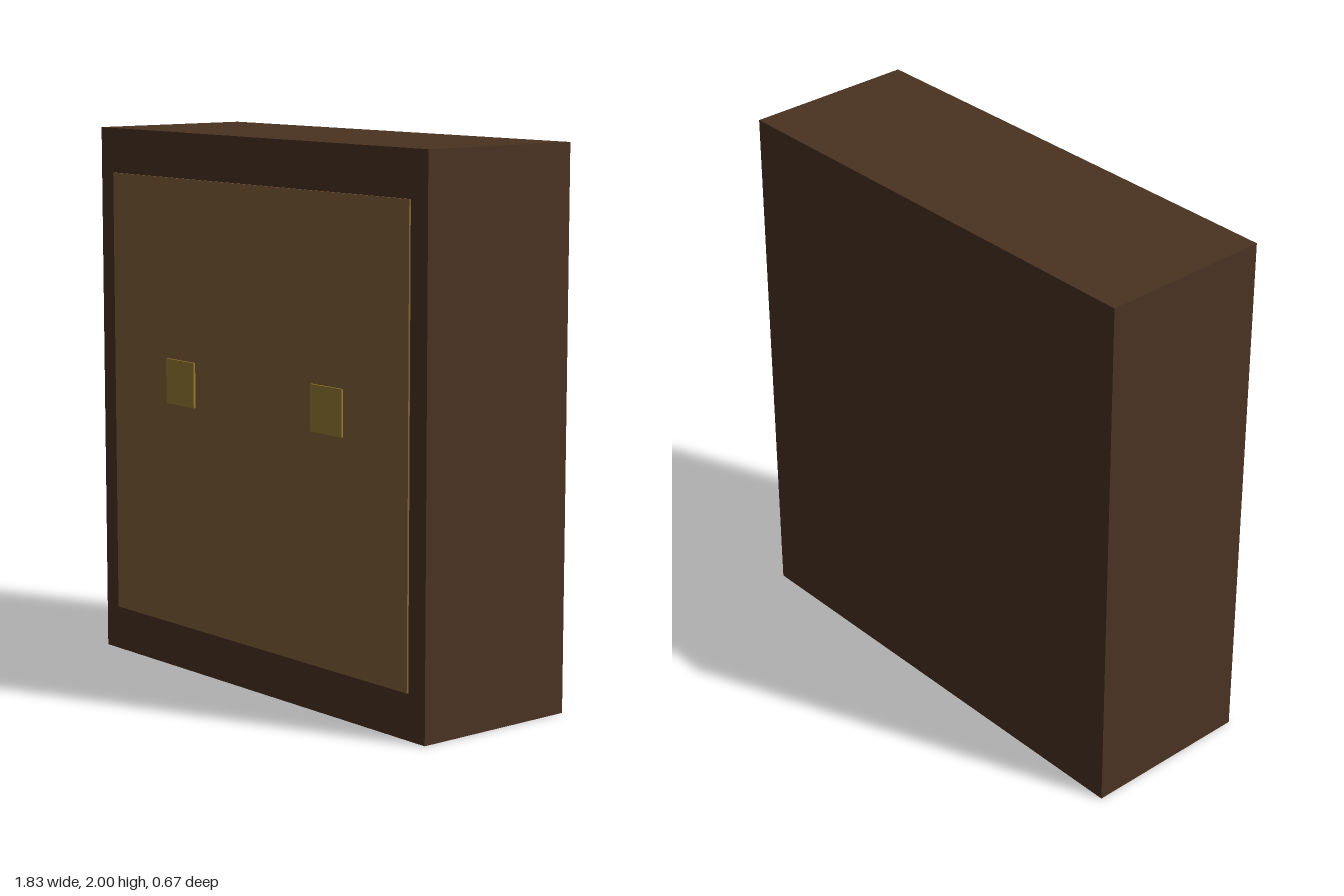
import * as THREE from 'three';

export function createModel() {
  const group = new THREE.Group();
  const mat = (name, color, side = THREE.FrontSide) =>
    Object.assign(new THREE.MeshStandardMaterial({ color, side }), { name });
  const darkWood = mat('darkWood', 0x4a3322, THREE.DoubleSide);
  const lightWood = mat('lightWood', 0x82623a, THREE.DoubleSide);
  const brass = mat('brass', 0x967c32);

  const add = (name, geometry, material, x, y, z, rx = 0, ry = 0) => {
    const mesh = new THREE.Mesh(geometry, material);
    mesh.name = name;
    mesh.position.set(x, y, z);
    mesh.rotation.set(rx, ry, 0);
    group.add(mesh);
  };

  // Cabinet shell: thin walls, open underneath
  const W = 1.833, H = 2, back = -0.333, front = 0.317;
  const D = front - back, midZ = (front + back) / 2;
  add('frontWall', new THREE.PlaneGeometry(W, H), darkWood, 0, H / 2, front);
  add('backWall', new THREE.PlaneGeometry(W, H), darkWood, 0, H / 2, back, 0, Math.PI);
  add('topWall', new THREE.PlaneGeometry(W, D), darkWood, 0, H, midZ, -Math.PI / 2);
  for (const s of [1, -1]) {
    add(s > 0 ? 'leftWall' : 'rightWall', new THREE.PlaneGeometry(D, H), darkWood,
      s * W / 2, H / 2, midZ, 0, s * Math.PI / 2);
  }

  // Raised door panel and the strip behind its hinge edge
  add('doorPanel', new THREE.BoxGeometry(1.667, 1.667, 0.007), lightWood, 0, 1, 0.3215);
  add('hingeStrip', new THREE.PlaneGeometry(0.067, 1.667), lightWood,
    -0.833, 1, front - 0.0335, 0, Math.PI / 2);

  // Pair of square handles
  for (const s of [1, -1]) {
    add(s > 0 ? 'leftHandle' : 'rightHandle', new THREE.BoxGeometry(0.167, 0.167, 0.009),
      brass, s * 0.417, 1.083, 0.3285);
  }
  return group;
}
